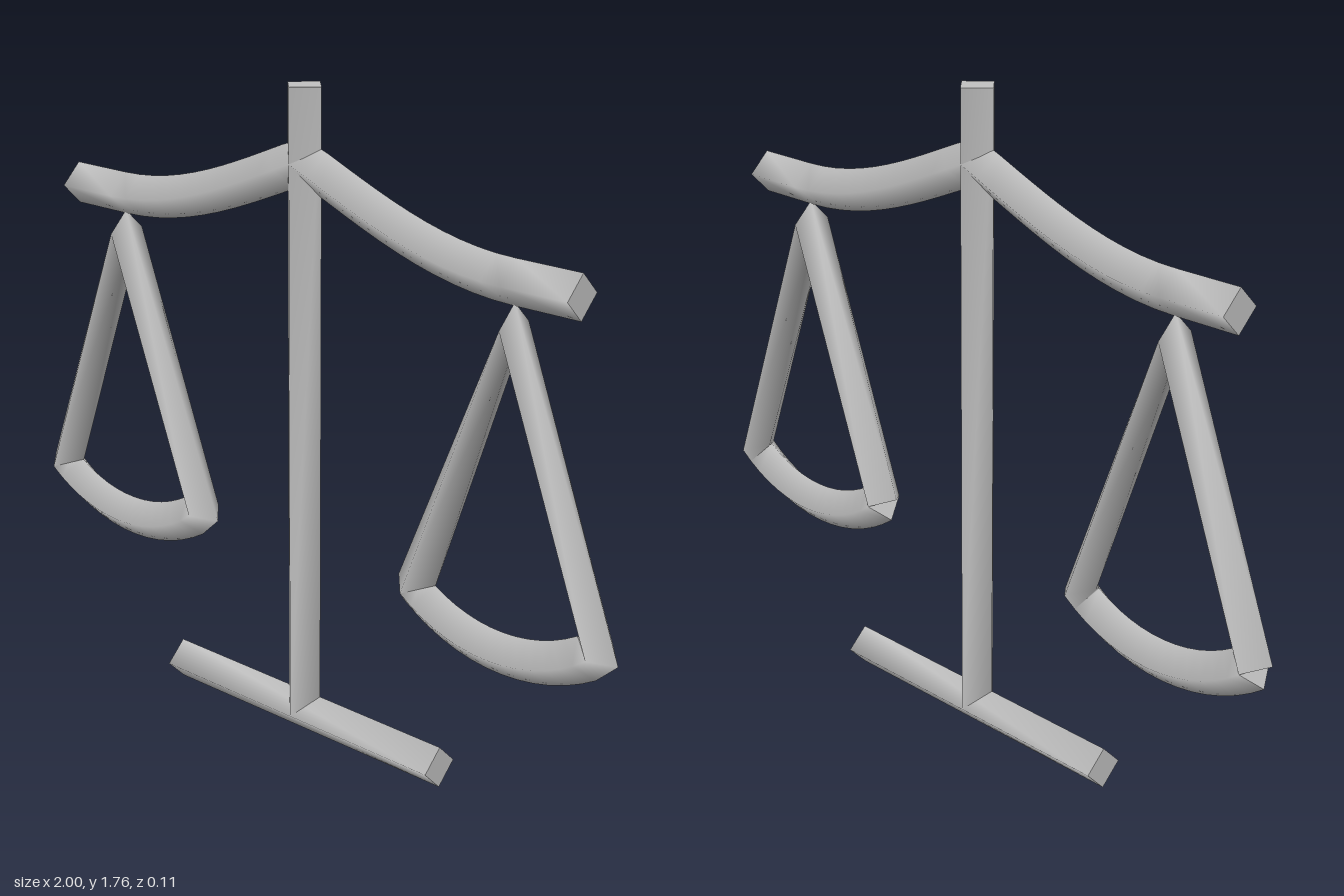
import * as THREE from 'three';

const R = 0.057; // half diagonal of the four-sided bar

// Sweeps a diamond section along a path in the xy plane, smooth sides and flat end caps.
function barGeometry(path) {
  const pts = path.map(([x, y]) => new THREE.Vector2(x, y));
  const pos = [], index = [];
  const last = pts.length - 1;
  const dir = (i) => pts[i + 1].clone().sub(pts[i]).normalize();
  const ring = (i) => {
    const t = new THREE.Vector2();
    if (i > 0) t.add(dir(i - 1));
    if (i < last) t.add(dir(i));
    t.normalize();
    for (let k = 0; k < 4; k++) {
      const c = Math.cos(k * Math.PI / 2) * R, s = Math.sin(k * Math.PI / 2) * R;
      pos.push(pts[i].x - t.y * c, pts[i].y + t.x * c, s);
    }
  };
  for (let i = 0; i <= last; i++) ring(i);
  for (let i = 0; i < last; i++) {
    for (let k = 0; k < 4; k++) {
      const a = i * 4 + k, b = i * 4 + (k + 1) % 4;
      index.push(a, b, b + 4, a, b + 4, a + 4);
    }
  }
  // end caps on their own vertices
  const s = pos.length / 3;
  ring(0);
  ring(last);
  index.push(s, s + 2, s + 1, s, s + 3, s + 2, s + 4, s + 5, s + 6, s + 4, s + 6, s + 7);
  const g = new THREE.BufferGeometry();
  g.setAttribute('position', new THREE.Float32BufferAttribute(pos, 3));
  g.setIndex(index);
  g.computeVertexNormals();
  return g;
}

export function createModel() {
  const model = new THREE.Group();
  model.name = 'balanceScale';
  const metal = new THREE.MeshStandardMaterial({ color: 0xc0c0c0 });
  metal.name = 'light grey';

  const addBar = (name, path) => {
    const mesh = new THREE.Mesh(barGeometry(path), metal);
    mesh.name = name;
    model.add(mesh);
    return mesh;
  };

  // foot and upright post
  addBar('base', [[-0.473, R], [0.473, R]]);
  addBar('post', [[0, R], [0, 1.76]]);

  // beam: two arms sagging from the post into level tips
  const sag = new THREE.CubicBezierCurve(
    new THREE.Vector2(0, 1.57), new THREE.Vector2(0.22, 1.48),
    new THREE.Vector2(0.42, 1.385), new THREE.Vector2(0.66, 1.385));
  const arm = sag.getPoints(12).map((p) => [p.x, p.y]);
  arm.push([0.85, 1.385]);
  const mirrored = arm.slice(1).reverse().map(([x, y]) => [-x, y]);
  addBar('beam', [...mirrored, ...arm]);

  // hanging pans: one bar up to the apex, down again and back along the bowl
  const halfWidth = 0.283, rimY = 0.535, bowlRadius = 0.477;
  const sweep = Math.asin(halfWidth / bowlRadius);
  const centreY = rimY + bowlRadius * Math.cos(sweep);
  const pan = [[-halfWidth, rimY], [0, 1.28]];
  for (let i = 0; i <= 14; i++) {
    const a = sweep * (1 - 2 * i / 14);
    pan.push([Math.sin(a) * bowlRadius, centreY - Math.cos(a) * bowlRadius]);
  }
  for (const [name, x] of [['rightPan', -0.662], ['leftPan', 0.662]]) {
    addBar(name, pan).position.x = x;
  }
  return model;
}
